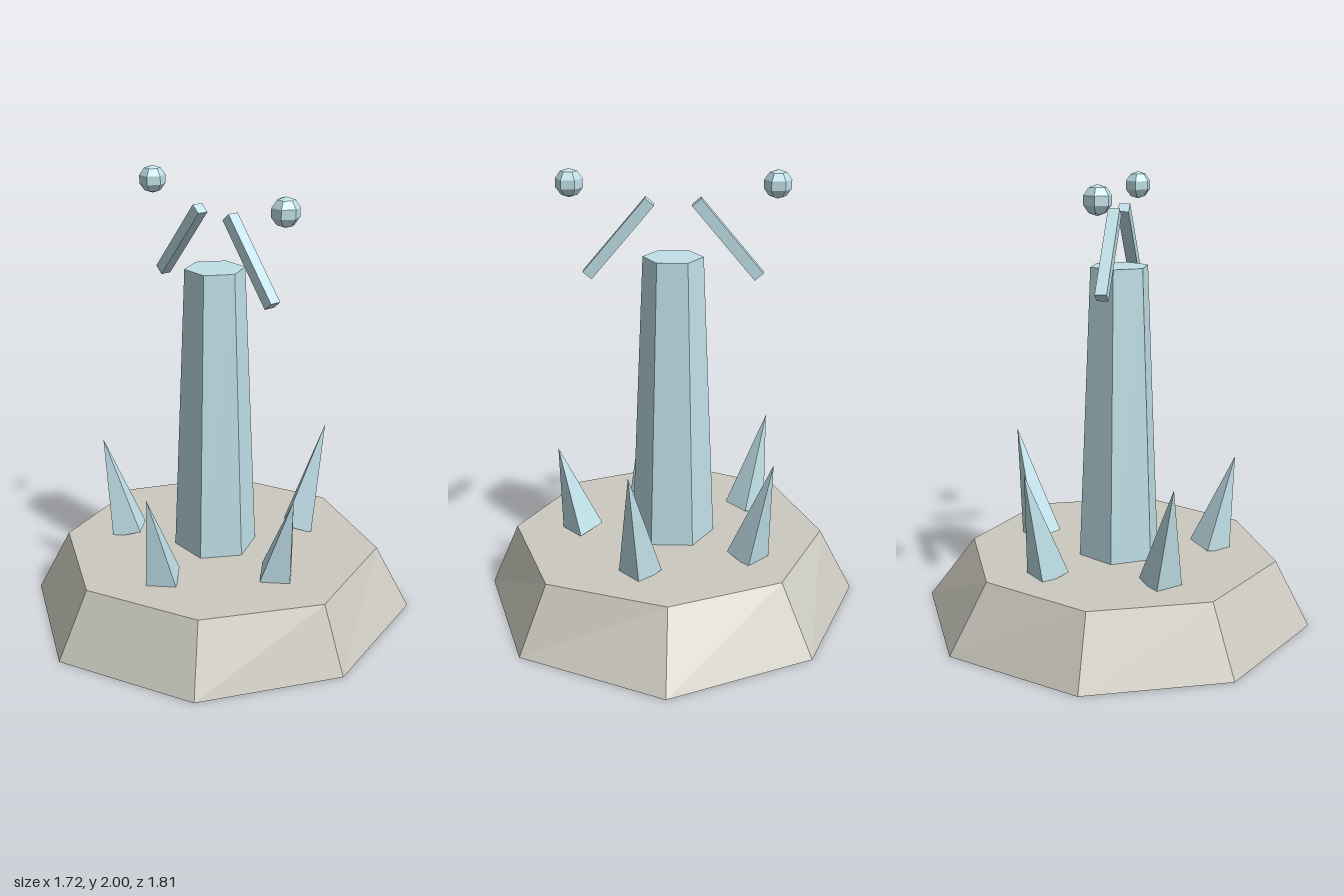
import * as THREE from 'three';

const stone = new THREE.MeshStandardMaterial({ color: 0xcccabf, flatShading: true });
const ice = new THREE.MeshStandardMaterial({ color: 0xc0e0e8, flatShading: true });

function add(parent, name, geometry, material, x, y, z) {
  const mesh = new THREE.Mesh(geometry, material);
  mesh.name = name;
  mesh.position.set(x, y, z);
  parent.add(mesh);
  return mesh;
}

// Eight-sided rock slab whose corners have uneven radii, starting at the front
function rockGeometry(height, topRadii, bottomRadii) {
  const geometry = new THREE.CylinderGeometry(1, 1, height, 8);
  const p = geometry.attributes.position;
  for (let i = 0; i < p.count; i++) {
    const x = p.getX(i), z = p.getZ(i);
    if (Math.hypot(x, z) < 0.5) continue; // cap centres
    const corner = (Math.round(Math.atan2(x, z) / (Math.PI / 4)) + 8) % 8;
    const r = (p.getY(i) > 0 ? topRadii : bottomRadii)[corner];
    p.setX(i, x * r);
    p.setZ(i, z * r);
  }
  geometry.computeVertexNormals();
  return geometry;
}

export function createModel() {
  const model = new THREE.Group();
  model.name = 'crystalShrine';
  const body = new THREE.Group();
  body.name = 'shrineBody';
  body.position.set(-0.01, 0, 0.025);
  model.add(body);

  // Rock base
  const baseHeight = 0.3;
  add(body, 'rockBase', rockGeometry(baseHeight,
    [0.723, 0.70, 0.74, 0.755, 0.703, 0.69, 0.695, 0.703],
    [0.88, 0.857, 0.867, 0.913, 0.928, 0.878, 0.85, 0.857]), stone, 0, baseHeight / 2, 0);

  // Tapered hexagonal pillar
  const pillarHeight = 1.32;
  add(body, 'crystalPillar',
    new THREE.CylinderGeometry(0.133, 0.19, pillarHeight, 6, 1, false, Math.PI / 6),
    ice, 0, baseHeight + pillarHeight / 2, 0);

  // Ring of shards leaning outward, each a little taller than the last
  const lean = 0.25;
  for (let i = 0; i < 5; i++) {
    const angle = i * Math.PI * 2 / 5;
    const c = Math.cos(angle), s = Math.sin(angle);
    const height = 0.418 + i * 0.0255;
    const geometry = new THREE.ConeGeometry(0.095, height, 4);
    geometry.translate(0, height / 2, 0); // pivot at the foot
    const shard = add(body, 'crystalShard', geometry, ice, c * 0.427, 0.302, s * 0.427);
    shard.rotation.set(lean * s, 0, -lean * c);
  }

  // Floating bars and orbs on both sides
  for (const [side, label] of [[1, 'left'], [-1, 'right']]) {
    const bar = add(body, label + 'FloatingBar', new THREE.BoxGeometry(0.05, 0.424, 0.05),
      ice, side * 0.237, 1.70, 0);
    bar.rotation.z = side * 0.7;
    add(body, label + 'FloatingOrb', new THREE.SphereGeometry(0.062, 6, 5),
      ice, side * 0.443, 1.938, 0);
  }
  return model;
}
